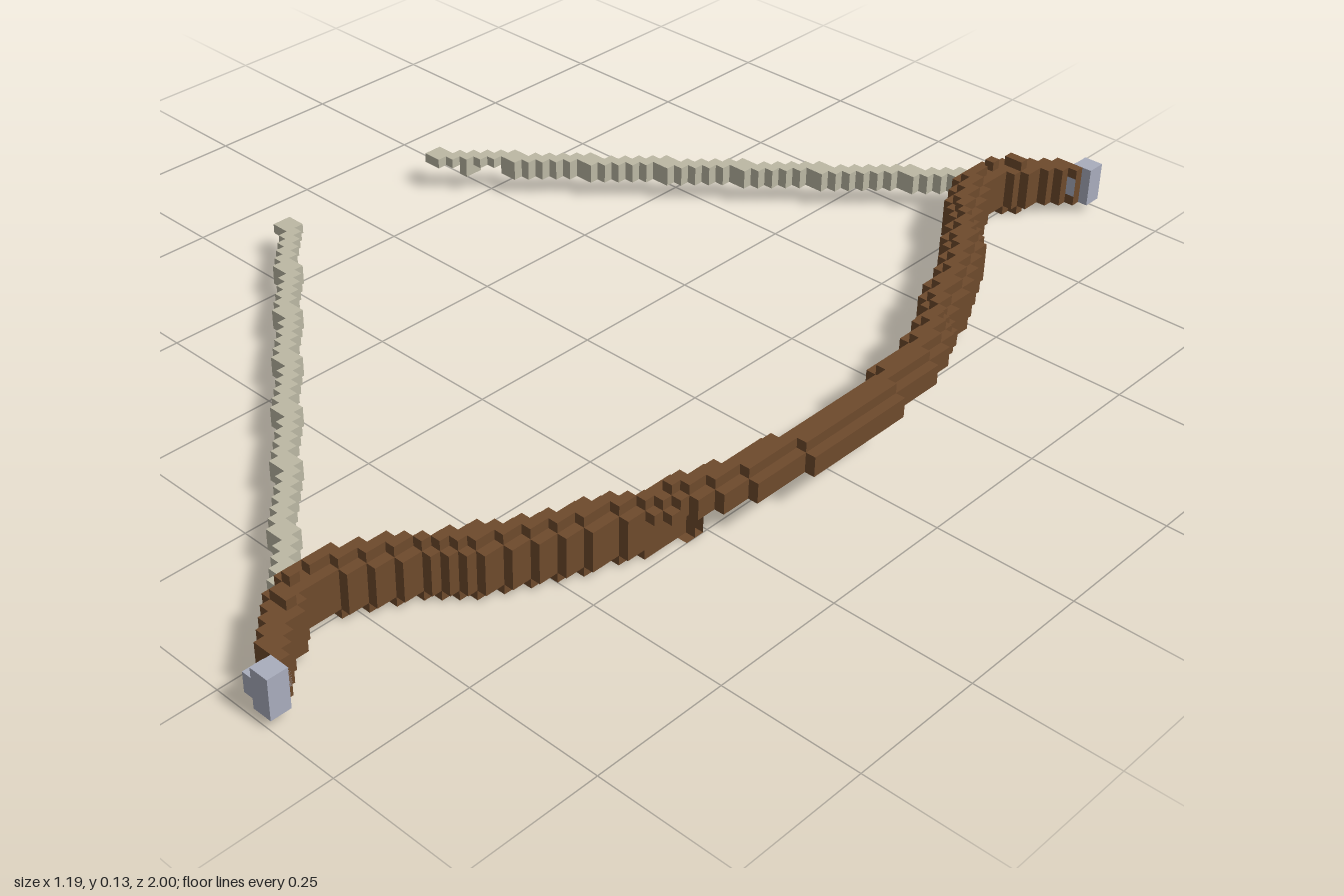
import * as THREE from 'three';
import { mergeGeometries } from 'three/addons/utils/BufferGeometryUtils.js';

const V = 2 / 108; // size of one voxel

// Box given by its voxel bounds; side mirrors it front to back
function block(x0, x1, y0, y1, z0, z1, side) {
  const g = new THREE.BoxGeometry((x1 - x0) * V, (y1 - y0) * V, (z1 - z0) * V);
  return g.translate(((x0 + x1) / 2) * V, ((y0 + y1) / 2) * V, (side * (z0 + z1) / 2) * V);
}

// Bow outline in voxels: distance from the middle, inner x, outer x
const OUTLINE = [
  [0, 28, 32], [5, 28, 32], [6, 27.6, 31.4], [11, 27, 30.8], [16, 25.6, 29],
  [21.6, 22.4, 25.8], [27, 19.8, 23.5], [32.4, 17, 20.6], [37.8, 13.2, 16.5],
  [41, 11.6, 14.7], [43, 11, 14.2], [46, 11.2, 14.2], [48.6, 13, 16.5], [52, 16.4, 19.4],
];

function edgesAt(z) {
  let i = 1;
  while (i < OUTLINE.length - 1 && OUTLINE[i][0] < z) i++;
  const a = OUTLINE[i - 1], b = OUTLINE[i];
  const t = (z - a[0]) / (b[0] - a[0]);
  return [1, 2].map((n) => Math.round(a[n] + (b[n] - a[n]) * t));
}

// Raised grip in the middle, three voxels high
function gripBlocks(side) {
  const out = [];
  for (let k = 0; k < 18; k++) {
    const [a, b] = edgesAt(k + 0.5);
    out.push(block(a, b, 4, 6, k, k + 1, side));
    out.push(block(a + 1, b - 1, 6, 7, k, k + 1, side));
  }
  return out;
}

// Tall limb with lower outer columns, narrowing in height to the tip
function limbBlocks(side) {
  const out = [];
  for (let k = 14; k < 52; k++) {
    const [a, b] = edgesAt(k + 0.5);
    const bottom = k < 48 ? 0 : 1;
    const top = k < 18 ? 4 : k < 44 || k === 45 || k === 47 ? 6 : 5;
    const low = Math.min(b, 26);
    out.push(block(a, low, 1, Math.min(top, 5), k, k + 1, side));
    out.push(block(a + 1, Math.min(b - 1, 26), bottom, top, k, k + 1, side));
    if (b > 26 && top > 4) {
      out.push(block(26, b, 4, 5, k, k + 1, side));
      if (b - 1 > 26) out.push(block(26, b - 1, 5, 6, k, k + 1, side));
    }
  }
  return out;
}

// Metal cap with trimmed corners
function tipBlocks(side) {
  return [
    block(17, 20, 2, 4, 52, 54, side),
    block(18, 20, 1, 5, 52, 54, side),
    block(17, 19, 2, 4, 51, 52, side),
  ];
}

// Half of the cut string, stepping diagonally inwards
function stringBlocks(side) {
  const out = [];
  for (let x = -32; x < 12; x++) {
    const z = Math.floor(9 + ((x + 32) * 37.3) / 44.5);
    const nub = side < 0 && x === -29;
    out.push(block(x, x + 1, x < -26 && !nub ? 3 : 2, 4, z, z + 2, side));
  }
  return out;
}

export function createModel() {
  const make = (name, color) => {
    const m = new THREE.MeshStandardMaterial({ color });
    m.name = name;
    return m;
  };
  const wood = make('wood', 0x6e4a2c);
  const cord = make('cord', 0xbcb8a4);
  const metal = make('metal', 0xa9adbd);

  const bow = new THREE.Group();
  bow.name = 'bow';
  const add = (name, blocks, material) => {
    const mesh = new THREE.Mesh(mergeGeometries(blocks), material);
    mesh.name = name;
    bow.add(mesh);
  };

  add('grip', [...gripBlocks(1), ...gripBlocks(-1)], wood);
  for (const [side, label] of [[1, 'front'], [-1, 'back']]) {
    add(label + 'Limb', limbBlocks(side), wood);
    add(label + 'Tip', tipBlocks(side), metal);
    add(label + 'String', stringBlocks(side), cord);
  }
  return bow;
}
